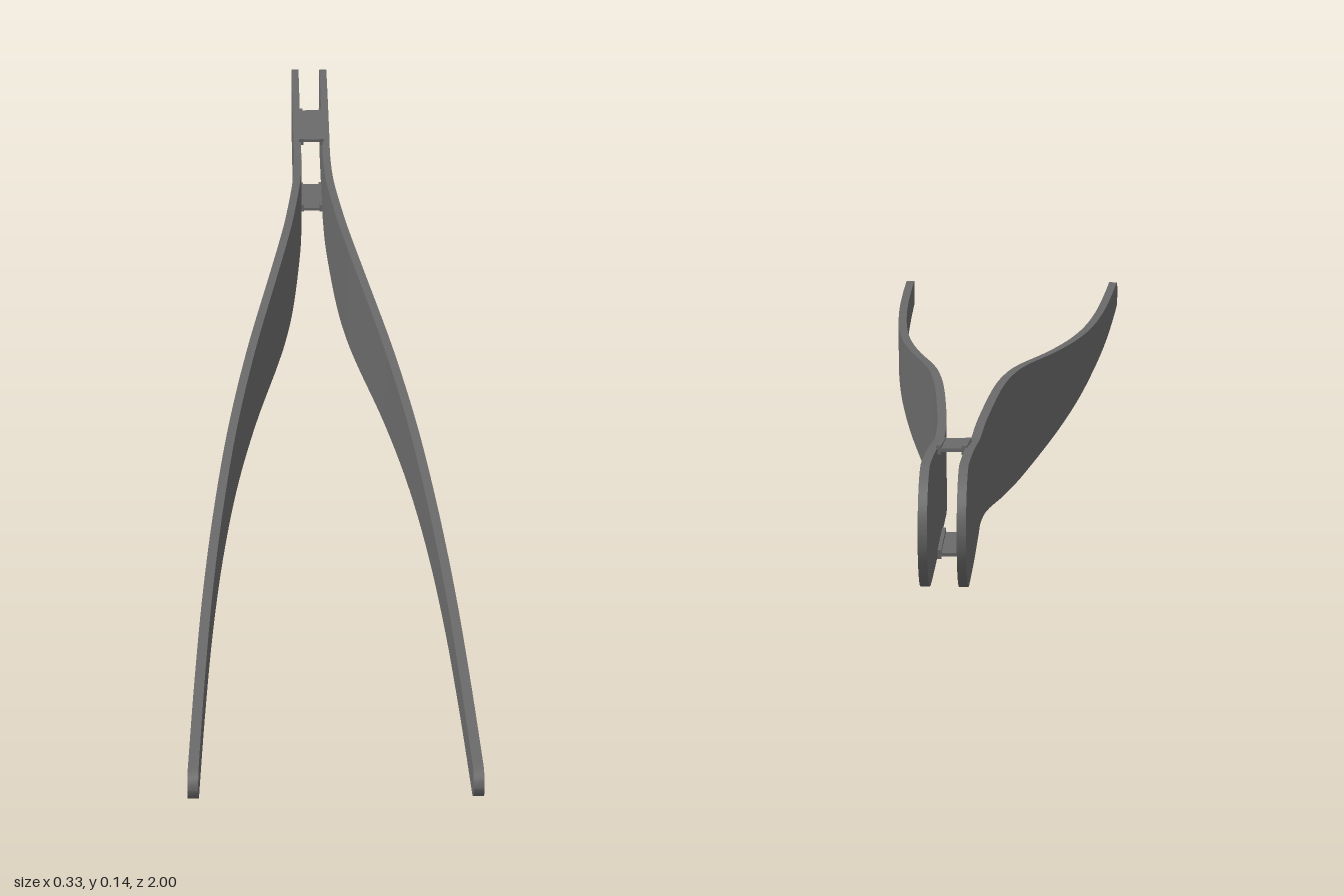
import * as THREE from 'three';

const MID_Y = 0.075;

// Stations from the rounded tail to the tip: offset from the middle, half height, z
const STATIONS = [
  [0.021, 0.068, -1.0], [0.021, 0.067, -0.9], [0.021, 0.062, -0.8], [0.021, 0.054, -0.71],
  [0.021, 0.05, -0.65], [0.024, 0.055, -0.55], [0.035, 0.067, -0.4], [0.046, 0.07, -0.3],
  [0.06, 0.067, -0.2], [0.09, 0.054, 0.0], [0.114, 0.042, 0.2], [0.131, 0.032, 0.4],
  [0.143, 0.026, 0.6], [0.151, 0.022, 0.8], [0.157, 0.018, 1.0],
].map((p) => new THREE.Vector3(...p));

// Rounds the outline off near an end
function roundEnd(distance, radius) {
  if (distance >= radius) return 1;
  const k = 1 - Math.max(distance, 0) / radius;
  return Math.max(Math.sqrt(Math.max(1 - k * k, 0)), 0.02);
}

// A long thin plate, bent outward and shaped along its length
function armGeometry(side) {
  const curve = new THREE.CatmullRomCurve3(STATIONS, false, 'catmullrom', 0.5);
  const geometry = new THREE.BoxGeometry(1, 1, 1, 1, 1, 96);
  const pos = geometry.attributes.position;
  for (let i = 0; i < pos.count; i++) {
    const t = THREE.MathUtils.clamp(pos.getZ(i) + 0.5, 0, 1);
    const p = curve.getPoint((1 - Math.cos(Math.PI * t)) / 2);
    const half = p.y * roundEnd(p.z + 1, 0.068) * roundEnd(1 - p.z, 0.02);
    const thickness = 0.01 + 0.002 * t;
    pos.setXYZ(
      i,
      side * p.x + pos.getX(i) * thickness,
      MID_Y + Math.sign(pos.getY(i)) * half,
      p.z,
    );
  }
  geometry.computeVertexNormals();
  return geometry;
}

export function createModel() {
  const model = new THREE.Group();
  model.name = 'tweezers';
  const steel = new THREE.MeshStandardMaterial({ color: 0x6a6a6a });
  steel.name = 'dark steel';

  const add = (name, geometry, x = 0, y = 0, z = 0) => {
    const mesh = new THREE.Mesh(geometry, steel);
    mesh.name = name;
    mesh.position.set(x, y, z);
    model.add(mesh);
    return mesh;
  };

  // Two spring arms
  add('leftArm', armGeometry(1));
  add('rightArm', armGeometry(-1));

  // Narrow bridges joining the arms along their upper and lower edges
  for (const s of [1, -1]) {
    const name = s > 0 ? 'upper' : 'lower';
    const y = MID_Y + s * 0.057;
    add(name + 'Bridge', new THREE.BoxGeometry(0.036, 0.004, 0.1), 0, y, -0.75).rotation.x = s * 0.05;
    // Thicker feet where each bridge meets an arm
    for (const side of [1, -1]) {
      add(name + 'BridgeFoot', new THREE.BoxGeometry(0.006, 0.01, 0.1), side * 0.0145, y - s * 0.001, -0.75)
        .rotation.x = s * 0.07;
    }
  }
  return model;
}
